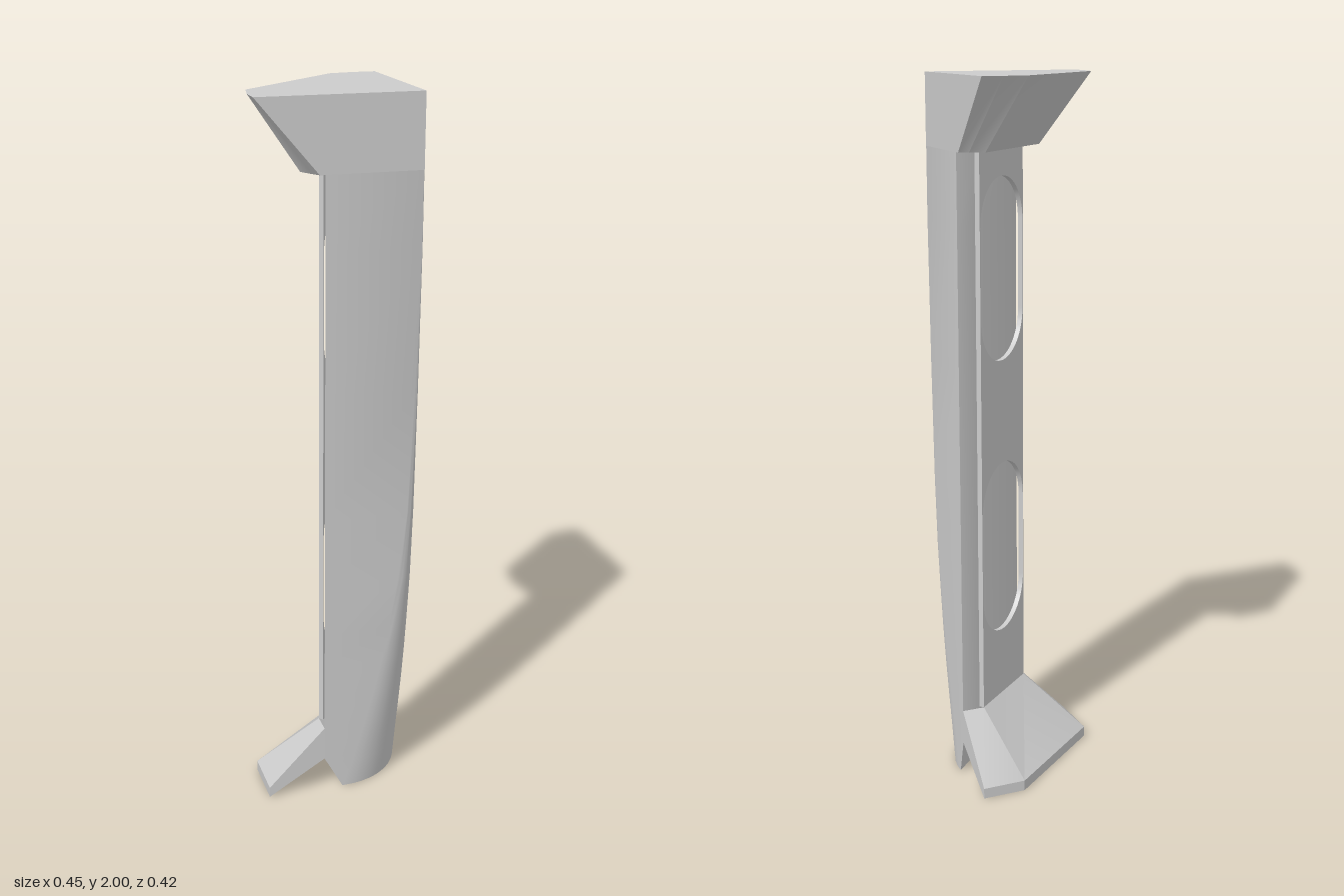
import * as THREE from 'three';
import { toCreasedNormals } from 'three/addons/utils/BufferGeometryUtils.js';

const X = 0.225, Z = 0.21; // planes of the two outer faces
const material = new THREE.MeshStandardMaterial({ color: 0xcccccc });

// Skin a closed solid through rings of equal point count, with fan caps at both ends
function loft(rings) {
  const tris = [];
  const n = rings[0].length;
  for (let i = 0; i + 1 < rings.length; i++) {
    for (let j = 0; j < n; j++) {
      const k = (j + 1) % n, a = rings[i], b = rings[i + 1];
      tris.push([a[j], a[k], b[k]], [a[j], b[k], b[j]]);
    }
  }
  const cap = (ring, flip) => {
    const c = [0, 1, 2].map(d => ring.reduce((s, p) => s + p[d], 0) / n);
    ring.forEach((p, j) => {
      const q = ring[(j + 1) % n];
      tris.push(flip ? [c, q, p] : [c, p, q]);
    });
  };
  cap(rings[0], true);
  cap(rings[rings.length - 1], false);
  // Turn the faces outward if the enclosed volume comes out negative
  const v = p => new THREE.Vector3(...p);
  const volume = tris.reduce((s, [a, b, c]) => s + v(a).dot(v(b).cross(v(c))), 0);
  if (volume < 0) tris.forEach(t => t.reverse());
  const geometry = new THREE.BufferGeometry();
  geometry.setAttribute('position', new THREE.Float32BufferAttribute(tris.flat(2), 3));
  return toCreasedNormals(geometry, 0.5);
}

// Radius of the rounded outer corner, growing toward the foot
const radii = [[0, 0.2], [0.08, 0.178], [0.1, 0.173], [0.2, 0.144], [0.3, 0.117], [0.4, 0.094], [0.5, 0.075],
  [0.65, 0.05], [0.85, 0.031], [1.2, 0.014], [1.6, 0.002], [1.8, 0.002]];

// Inner side of the shaft: two narrow returns and a diagonal, from the side face to the front face
const shaftBack = [[X, -0.025], [0.16, -0.025], [-0.04, 0.15], [-0.04, Z]];
const depth = 0.014; // recess depth
const setBack = [[X, -0.025], [0.16, -0.025 + depth * 1.33], [-0.04 + depth * 1.52, 0.15], [-0.04, Z]];
const straight = (a, b) => [0, 0.25, 0.75, 1].map(t => [a[0] + (b[0] - a[0]) * t, a[1] + (b[1] - a[1]) * t]);
const footBack = straight([X, 0], [0.015, Z]);
const grooveBack = straight([X, -0.025], [-0.04, Z]);

function shaftRing(y, r) {
  const ring = [];
  for (let i = 0; i <= 12; i++) {
    const a = (i / 12) * Math.PI / 2;
    ring.push([X - r + r * Math.sin(a), y, Z - r + r * Math.cos(a)]);
  }
  const t = y / 0.1;
  const back = y >= 0.2 ? setBack
    : footBack.map((p, i) => [0, 1].map(d => p[d] + (grooveBack[i][d] - p[d]) * t));
  back.forEach(([x, z]) => ring.push([x, y, z]));
  return ring;
}

// Diagonal face plate with two round-ended openings
function gripPlate() {
  const [, a, b] = shaftBack;
  const w = Math.hypot(b[0] - a[0], b[1] - a[1]);
  const shape = new THREE.Shape([[0, 0.2], [w, 0.2], [w, 1.8], [0, 1.8]].map(p => new THREE.Vector2(...p)));
  const r = w / 2 - 0.003;
  for (const [low, high] of [[0.4, 0.91], [1.21, 1.725]]) {
    const slot = new THREE.Path();
    slot.absarc(w / 2, high - r, r, 0, Math.PI, false);
    slot.absarc(w / 2, low + r, r, Math.PI, Math.PI * 2, false);
    slot.closePath();
    shape.holes.push(slot);
  }
  const geometry = new THREE.ExtrudeGeometry(shape, { depth, bevelEnabled: false, curveSegments: 20 });
  const along = new THREE.Vector3((b[0] - a[0]) / w, 0, (b[1] - a[1]) / w);
  const up = new THREE.Vector3(0, 1, 0);
  const out = along.clone().cross(up);
  const place = new THREE.Matrix4().makeBasis(along, up, out);
  place.setPosition(a[0] - out.x * depth, 0, a[1] - out.z * depth);
  return toCreasedNormals(geometry.applyMatrix4(place), 0.5);
}

export function createModel() {
  const group = new THREE.Group();
  const add = (name, geometry) => {
    const mesh = new THREE.Mesh(geometry, material);
    mesh.name = name;
    group.add(mesh);
  };

  add('shaft', loft(radii.map(([y, r]) => shaftRing(y, r))));
  add('gripPlate', gripPlate());

  // Flared head
  const headLow = [[X, Z], [X, -0.04], [0.2, -0.055], [0.16, -0.07], [-0.09, 0.15], [-0.07, 0.185], [-0.055, Z]];
  const headTop = [[X, Z], [X, -0.212], [0.165, -0.212], [0.093, -0.202], [-0.21, 0.066], [-0.226, 0.147], [-0.226, Z]];
  add('head', loft([[headLow, 1.8], [headTop, 2]].map(([ring, y]) => ring.map(([x, z]) => [x, y, z]))));

  // Splayed foot behind the shaft, hollowed below by a V groove
  const rim = [[X, -0.187], [0.1, -0.187], [-0.205, 0.06], [-0.205, Z]];
  add('foot', loft(rim.map(([x, z], i) => {
    const [gx, gz] = grooveBack[i], [sx, sz] = shaftBack[i];
    return [[gx, 0.1, gz], [x, 0, z], [x, 0.03, z], [sx, 0.2, sz]];
  })));

  return group;
}
